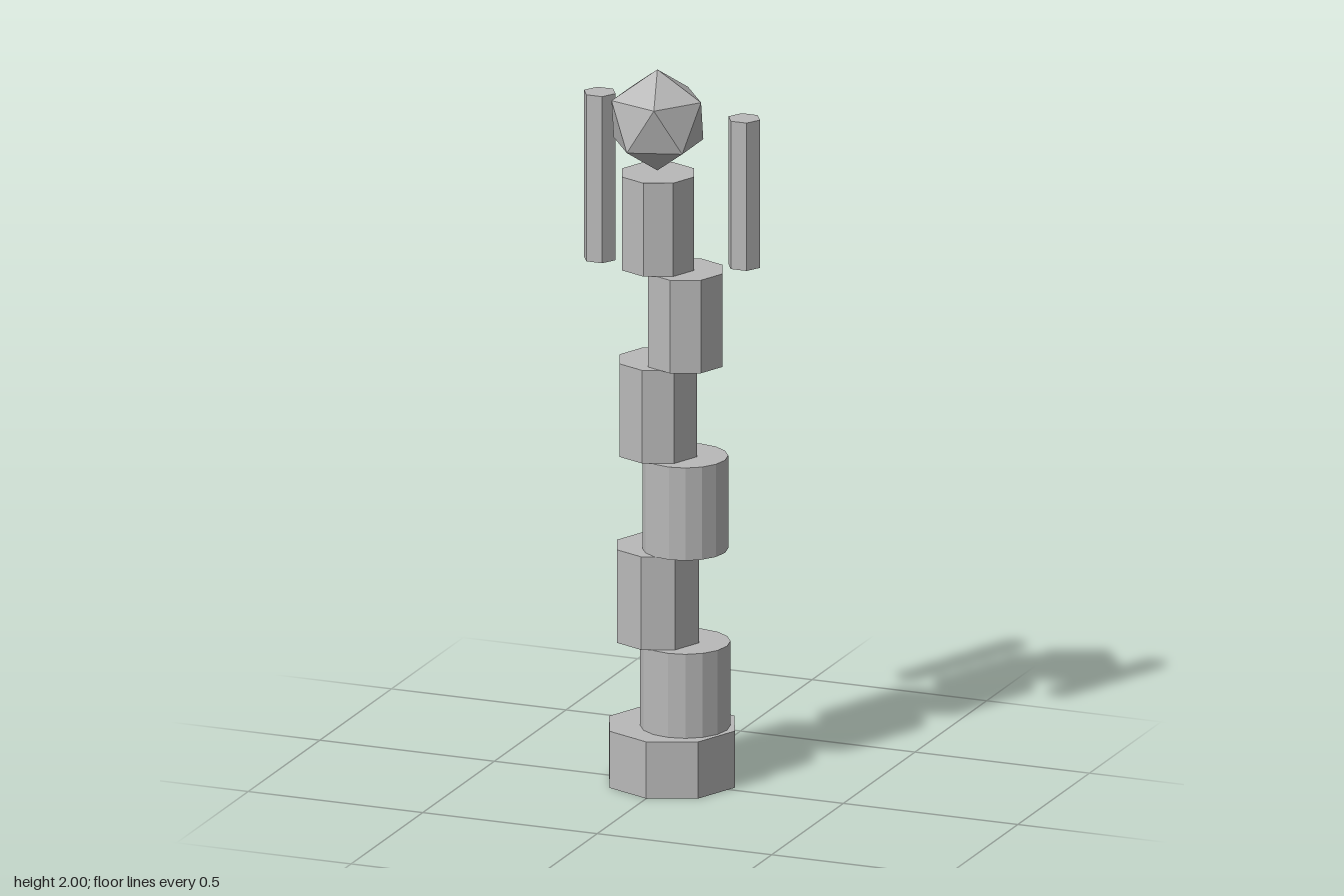
import * as THREE from 'three';

export function createModel() {
  const model = new THREE.Group();
  const stone = new THREE.MeshStandardMaterial({ color: 0xb8b8b8, flatShading: true });
  stone.name = 'stone grey';
  const axisZ = -0.022;

  // Upright prism between two heights
  function prism(name, radius, sides, bottom, top, x, turn = 0) {
    const geometry = new THREE.CylinderGeometry(radius, radius, top - bottom, sides);
    geometry.rotateY(turn);
    const mesh = new THREE.Mesh(geometry, stone);
    mesh.name = name;
    mesh.position.set(x, (bottom + top) / 2, axisZ);
    model.add(mesh);
  }

  // Octagonal foot
  prism('base', 0.18, 8, 0, 0.157, 0);

  // Staggered drums, alternating sides and shrinking upwards
  const levels = [0.13, 0.39, 0.648, 0.905, 1.163, 1.421, 1.68];
  const radii = [0.12, 0.118, 0.114, 0.111, 0.107, 0.103];
  radii.forEach((radius, i) => {
    const rounded = i === 0 || i === 2;
    prism('drum' + (i + 1), radius, rounded ? 16 : 8, levels[i], levels[i + 1], i % 2 ? -0.04 : 0.038);
  });

  // Floating hexagonal rods
  prism('rightRod', 0.045, 6, 1.423, 1.885, -0.207, Math.PI / 2);
  prism('leftRod', 0.045, 6, 1.45, 1.86, 0.207, Math.PI / 2);

  // Floating crystal, one corner pointing straight up
  const crystalGeometry = new THREE.IcosahedronGeometry(0.14, 0);
  crystalGeometry.rotateX(-Math.atan((1 + Math.sqrt(5)) / 2));
  crystalGeometry.rotateY(Math.PI / 2);
  const crystal = new THREE.Mesh(crystalGeometry, stone);
  crystal.name = 'crystal';
  crystal.position.set(0, 1.86, 0.08);
  model.add(crystal);

  return model;
}
